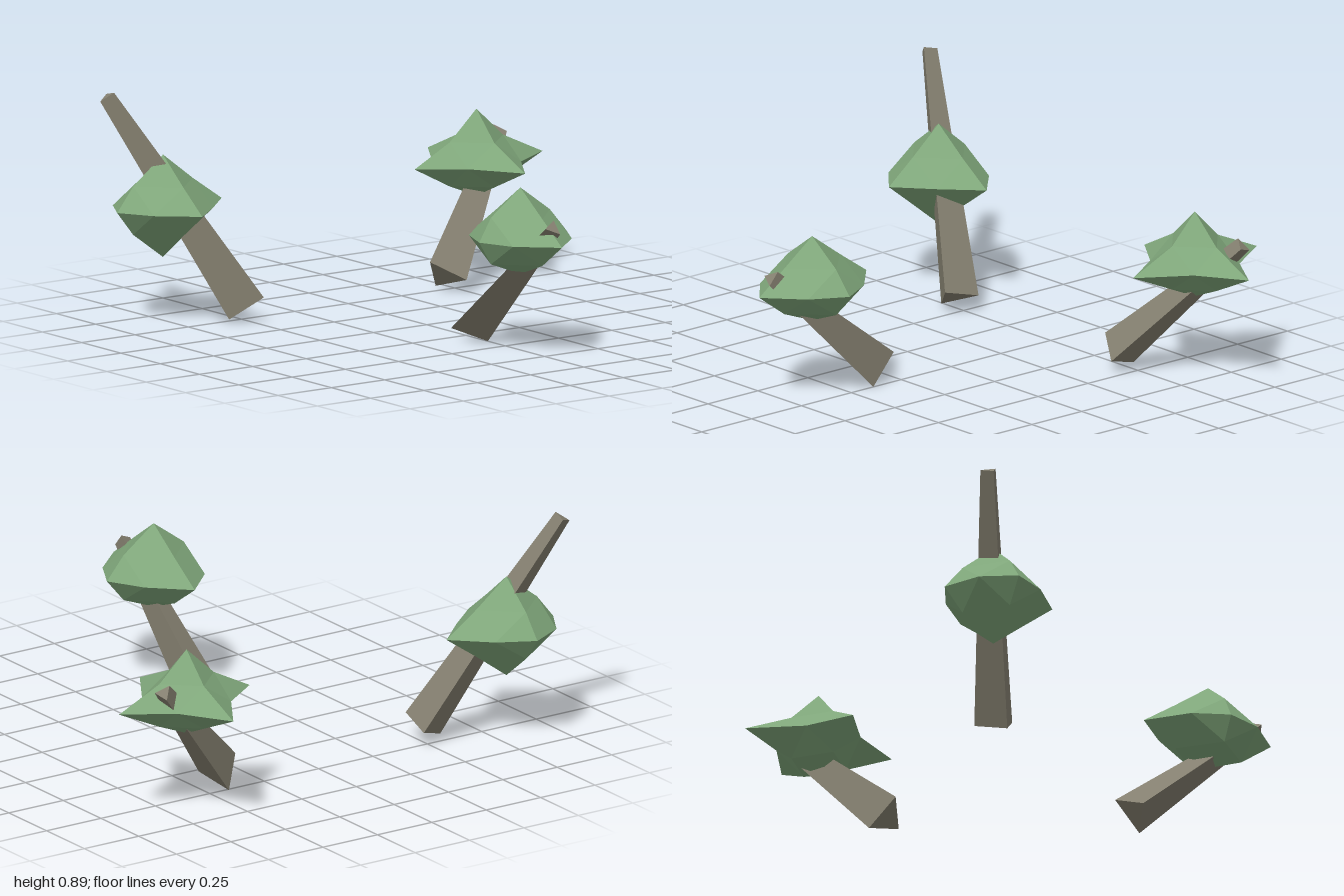
import * as THREE from 'three';

const leafMat = new THREE.MeshStandardMaterial({ color: 0x7fa67a, flatShading: true });
const barkMat = new THREE.MeshStandardMaterial({ color: 0x858070, flatShading: true });

// Once-divided octahedron: six tips pulled to their own reach, edge middles kept closer in.
// pos / neg: reach of the tips along +xyz / -xyz; mid: offset of the edge middles.
function crownGeometry(pos, neg, mid) {
  const geo = new THREE.OctahedronGeometry(1, 1);
  const p = geo.attributes.position;
  for (let i = 0; i < p.count; i++) {
    const v = [p.getX(i), p.getY(i), p.getZ(i)].map((c) => (Math.abs(c) < 0.01 ? 0 : Math.sign(c)));
    const isTip = v.filter((c) => c !== 0).length === 1;
    const out = v.map((s, k) => s * (isTip ? (s > 0 ? pos[k] : neg[k]) : mid[k]));
    p.setXYZ(i, ...out);
  }
  geo.computeVertexNormals();
  return geo;
}

// Three-sided tapered trunk, standing on its base point
function trunkGeometry(length) {
  return new THREE.CylinderGeometry(0.036, 0.09, length, 3).translate(0, length / 2, 0);
}

const trees = [
  { // back right tree
    center: [-0.62, 0.45, -0.69], pos: [0.31, 0.2, 0.29], neg: [0.31, 0.135, 0.31], mid: [0.115, 0.085, 0.125],
    base: [-0.462, 0.063, -0.422], tilt: [-0.747, 0, 0.371], length: 0.69,
  },
  { // front right tree
    center: [-0.62, 0.45, 0.78], pos: [0.25, 0.2, 0.215], neg: [0.205, 0.195, 0.275], mid: [0.13, 0.093, 0.14],
    base: [-0.463, 0.06, 0.507], tilt: [0.509, 0, 0.274], length: 0.975,
  },
  { // left tree
    center: [0.657, 0.453, 0.045], pos: [0.265, 0.19, 0.193], neg: [0.272, 0.143, 0.215], mid: [0.14, 0.09, 0.138],
    base: [0.338, 0.06, 0.045], tilt: [0, 0, -0.853], length: 0.7,
  },
];

export function createModel() {
  const model = new THREE.Group();
  model.name = 'treeGroup';
  for (const t of trees) {
    const tree = new THREE.Group();
    tree.name = 'tree';

    const crown = new THREE.Mesh(crownGeometry(t.pos, t.neg, t.mid), leafMat);
    crown.name = 'crown';
    crown.position.set(...t.center);

    const trunk = new THREE.Mesh(trunkGeometry(t.length), barkMat);
    trunk.name = 'trunk';
    trunk.position.set(...t.base);
    trunk.rotation.set(...t.tilt);

    tree.add(crown, trunk);
    model.add(tree);
  }
  return model;
}
